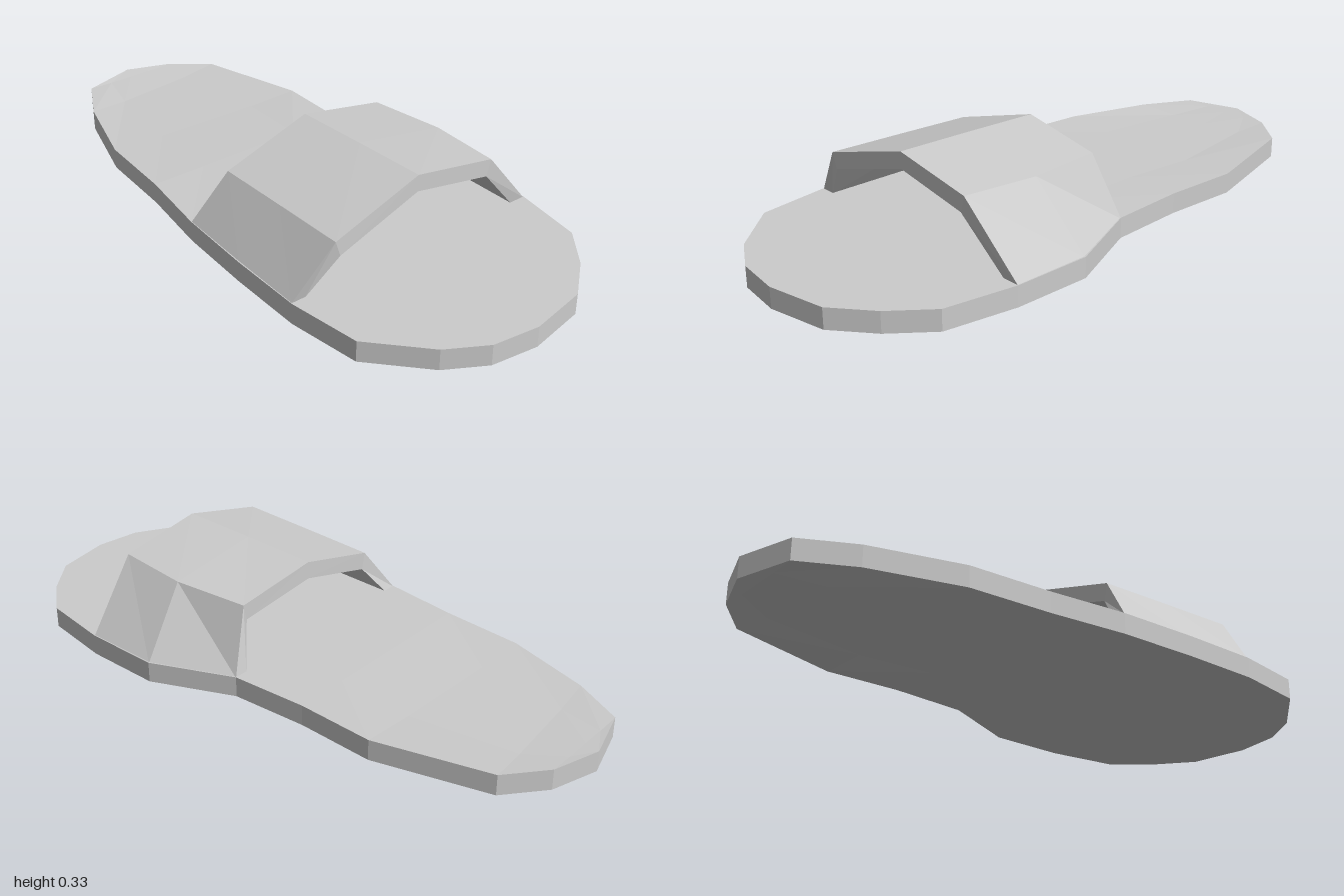
import * as THREE from 'three';

const material = new THREE.MeshStandardMaterial({ color: 0xcccccc, flatShading: true });

// Closed faceted shell between two matching point grids (rows run +x, columns run +z)
function shell(name, top, bottom) {
  const pos = [];
  const tri = (a, b, c) => {
    const area = b.clone().sub(a).cross(c.clone().sub(a)).length();
    if (area > 1e-7) for (const p of [a, b, c]) pos.push(p.x, p.y, p.z);
  };
  const quad = (a, b, c, d) => { tri(a, b, c); tri(a, c, d); };
  const m = top.length - 1, n = top[0].length - 1;
  for (let i = 0; i < m; i++) {
    for (let j = 0; j < n; j++) {
      quad(top[i][j], top[i][j + 1], top[i + 1][j + 1], top[i + 1][j]);
      quad(bottom[i][j], bottom[i + 1][j], bottom[i + 1][j + 1], bottom[i][j + 1]);
    }
  }
  // Walls around the rim
  const rim = [];
  for (let j = 0; j < n; j++) rim.push([0, j]);
  for (let i = 0; i < m; i++) rim.push([i, n]);
  for (let j = n; j > 0; j--) rim.push([m, j]);
  for (let i = m; i > 0; i--) rim.push([i, 0]);
  rim.forEach(([i, j], k) => {
    const [p, q] = rim[(k + 1) % rim.length];
    quad(bottom[i][j], bottom[p][q], top[p][q], top[i][j]);
  });
  const geometry = new THREE.BufferGeometry();
  geometry.setAttribute('position', new THREE.Float32BufferAttribute(pos, 3));
  geometry.computeVertexNormals();
  const mesh = new THREE.Mesh(geometry, material);
  mesh.name = name;
  return mesh;
}

// Sole: stations from heel to toe as [back x, back z, front x, front z, edge dip, middle dip]
function createSole() {
  const stations = [
    [-1, 0.02, -1, 0.02, 0.004, 0.004],
    [-0.95, -0.13, -0.95, 0.2, 0.006, 0.008],
    [-0.85, -0.25, -0.79, 0.285, 0.005, 0.014],
    [-0.49, -0.345, -0.51, 0.37, 0.003, 0.01],
    [-0.24, -0.335, -0.24, 0.39, 0, 0.001],
    [0.01, -0.345, 0.01, 0.425, 0, 0],
    [0.27, -0.455, 0.27, 0.44, 0, 0],
    [0.52, -0.45, 0.52, 0.445, 0, 0],
    [0.75, -0.41, 0.75, 0.415, 0, 0],
    [0.87, -0.31, 0.91, 0.27, 0, 0],
    [0.965, -0.19, 0.98, 0.15, 0, 0],
    [1, 0, 1, 0, 0, 0],
  ];
  const columns = [0, 0.25, 0.5, 0.75, 1];
  const grid = (y) => stations.map(([xb, zb, xf, zf, edge, middle]) =>
    columns.map((t) => new THREE.Vector3(
      xb + (xf - xb) * t,
      y - (t === 0 || t === 1 ? edge : middle),
      zb + (zf - zb) * t)));
  return shell('sole', grid(0.083), grid(0.017));
}

// Strap: three arches side by side, each from the back edge over to the front edge
function createStrap() {
  const points = (arches) => arches.map((arch) => arch.map((p) => new THREE.Vector3(...p)));
  const outer = points([
    [[0.01, 0.08, -0.345], [0.05, 0.277, -0.262], [0.035, 0.32, 0.015], [0.05, 0.235, 0.315], [0.01, 0.08, 0.425]],
    [[0.27, 0.08, -0.453], [0.3, 0.283, -0.288], [0.288, 0.329, 0.015], [0.302, 0.243, 0.32], [0.265, 0.08, 0.438]],
    [[0.52, 0.08, -0.45], [0.545, 0.29, -0.265], [0.538, 0.336, 0.015], [0.555, 0.25, 0.325], [0.515, 0.08, 0.445]],
  ]);
  const inner = points([
    [[0.01, 0.08, -0.3], [0.05, 0.225, -0.25], [0.035, 0.264, 0.015], [0.05, 0.18, 0.303], [0.01, 0.08, 0.38]],
    [[0.27, 0.08, -0.395], [0.3, 0.23, -0.262], [0.288, 0.274, 0.015], [0.302, 0.19, 0.305], [0.265, 0.08, 0.39]],
    [[0.52, 0.08, -0.395], [0.545, 0.238, -0.25], [0.538, 0.283, 0.015], [0.555, 0.2, 0.308], [0.515, 0.08, 0.398]],
  ]);
  return shell('strap', outer, inner);
}

export function createModel() {
  const group = new THREE.Group();
  group.name = 'slideSandal';
  group.add(createSole(), createStrap());
  return group;
}
